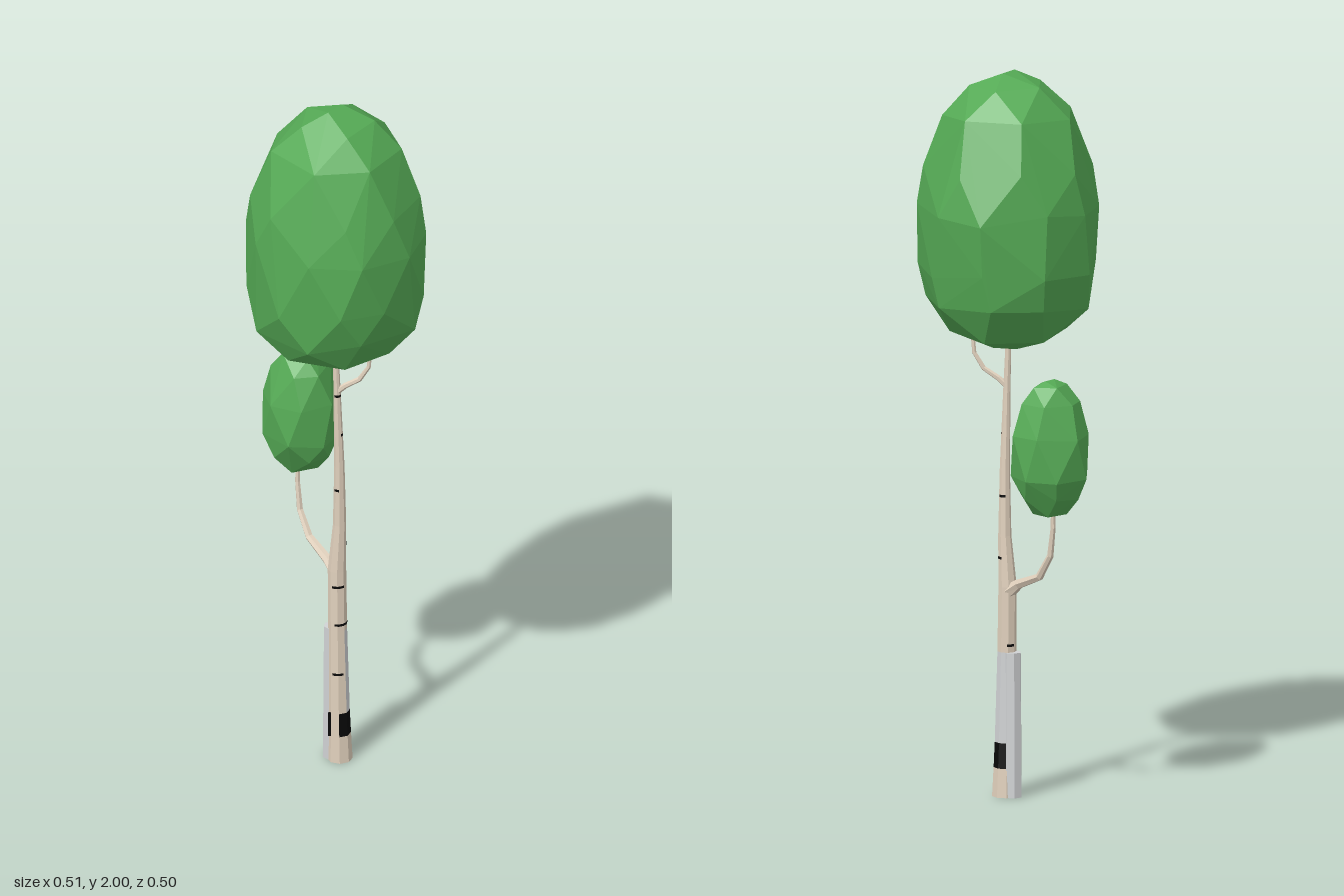
import * as THREE from 'three';
import { ConvexGeometry } from 'three/addons/geometries/ConvexGeometry.js';

const material = (name, color, extra = {}) => {
  const m = new THREE.MeshStandardMaterial({ color, flatShading: true, ...extra });
  m.name = name;
  return m;
};

// Faceted limb through [x, y, z, radius] sections; paint(section, side) picks a material index
function limb(sections, sides, level, paint = () => 0) {
  const up = new THREE.Vector3(0, 1, 0);
  const points = sections.map(([x, y, z]) => new THREE.Vector3(x, y, z));
  const rings = points.map((p, i) => {
    const dir = points[Math.min(i + 1, points.length - 1)].clone()
      .sub(points[Math.max(i - 1, 0)]).normalize();
    const turn = new THREE.Quaternion().setFromUnitVectors(up, level ? up : dir);
    return Array.from({ length: sides }, (_, k) => {
      const a = ((k - 0.5) / sides) * Math.PI * 2;
      return new THREE.Vector3(Math.sin(a), 0, Math.cos(a))
        .multiplyScalar(sections[i][3]).applyQuaternion(turn).add(p);
    });
  });
  const geometry = new THREE.BufferGeometry();
  const position = [];
  const face = (index, ...corners) => {
    geometry.addGroup(position.length / 3, corners.length, index);
    corners.forEach((c) => position.push(c.x, c.y, c.z));
  };
  const last = rings.length - 1;
  for (let k = 0; k < sides; k++) {
    const n = (k + 1) % sides;
    for (let i = 0; i < last; i++) {
      const [a, b, c, d] = [rings[i][k], rings[i][n], rings[i + 1][n], rings[i + 1][k]];
      face(paint(i, k), a, b, c, a, c, d);
    }
    face(0, points[0], rings[0][n], rings[0][k]);
    face(0, points[last], rings[last][k], rings[last][n]);
  }
  geometry.setAttribute('position', new THREE.Float32BufferAttribute(position, 3));
  geometry.computeVertexNormals();
  return geometry;
}

// Faceted crown: the hull of slightly irregular rings of [y, radius, count]
function crown(rings, cx, cz, seed) {
  let s = seed;
  const wobble = () => {
    s = (s * 16807) % 2147483647;
    return s / 2147483647 - 0.5;
  };
  const points = [];
  rings.forEach(([y, r, count], i) => {
    const inner = i > 0 && i < rings.length - 1;
    for (let k = 0; k < count; k++) {
      const a = ((k + i * 0.5 + wobble() * 0.3) / count) * Math.PI * 2;
      const rr = r * (1 + wobble() * 0.06);
      points.push(new THREE.Vector3(cx + Math.sin(a) * rr,
        y + (inner ? wobble() * 0.12 * r : 0), cz + Math.cos(a) * rr));
    }
  });
  return new ConvexGeometry(points);
}

export function createModel() {
  const tree = new THREE.Group();
  tree.name = 'tree';
  const bark = material('pale bark', 0xe0d0bc);
  const black = material('black bark', 0x080808, { side: THREE.DoubleSide });
  const grey = material('grey bark', 0xd0d2d4);
  const green = material('leaf green', 0x55aa55);
  const add = (name, geometry, mat) => {
    const mesh = new THREE.Mesh(geometry, mat);
    mesh.name = name;
    tree.add(mesh);
    return mesh;
  };

  // Trunk, with a black band and grey bark on its left and back sides
  const trunk = [
    [0.009, 0, -0.017, 0.035], [0.008, 0.08, -0.016, 0.032], [0.007, 0.15, -0.015, 0.030],
    [0.004, 0.4, -0.014, 0.026], [0.002, 0.58, -0.015, 0.025], [0.01, 0.72, -0.014, 0.018],
    [0.011, 0.9, -0.010, 0.014], [0.007, 1.12, -0.004, 0.010], [0.001, 1.3, -0.004, 0.007],
  ];
  add('trunk', limb(trunk, 8, true, (section, side) => {
    if (section === 1 && side >= 1 && side <= 4) return 1;
    if (section === 2 && side >= 2 && side <= 5) return 2;
    return 0;
  }), [bark, black, grey]);

  // Straight grey bark strip behind the trunk
  add('barkStrip', new THREE.CylinderGeometry(0.024, 0.027, 0.4, 7)
    .translate(-0.014, 0.2, -0.022), grey);
  add('barkPatch', new THREE.BoxGeometry(0.008, 0.07, 0.006).translate(-0.008, 0.115, 0.013), black);

  // Thin dark dashes around the trunk: [height, start angle, sweep]
  [[0.27, -0.2, 1.1], [0.42, 0.1, 1.9], [0.42, 3.4, 0.8], [0.535, -0.2, 1.4], [0.66, 1.6, 1.2],
    [0.83, -0.6, 0.9], [0.83, 2.4, 1.1], [1.0, 1.0, 1.0], [1.12, -0.3, 2.0]].forEach(([y, start, sweep]) => {
    const i = trunk.findIndex((t) => t[1] > y);
    const [lo, hi] = [trunk[i - 1], trunk[i]];
    const t = (y - lo[1]) / (hi[1] - lo[1]);
    const [x, , z, r] = lo.map((v, j) => v + (hi[j] - v) * t);
    add('barkMark', new THREE.CylinderGeometry(r + 0.0008, r + 0.0008, 0.007, 4, 1, true, start, sweep)
      .translate(x, y, z), black);
  });

  // Branches
  add('lowerBranch', limb([
    [0.005, 0.56, -0.016, 0.022], [-0.035, 0.592, -0.036, 0.014], [-0.105, 0.625, -0.08, 0.011],
    [-0.142, 0.69, -0.104, 0.009], [-0.152, 0.77, -0.112, 0.007], [-0.152, 0.88, -0.114, 0.005],
  ], 6, false), bark);
  add('upperBranch', limb([
    [0.006, 1.13, -0.004, 0.009], [0.03, 1.152, -0.006, 0.008], [0.07, 1.178, -0.01, 0.007],
    [0.096, 1.22, -0.012, 0.006], [0.104, 1.31, -0.013, 0.005],
  ], 6, false), bark);

  // Crowns
  add('largeCrown', crown([
    [1.24, 0.045, 3], [1.285, 0.165, 7], [1.37, 0.225, 8], [1.47, 0.243, 9], [1.63, 0.25, 10],
    [1.75, 0.23, 8], [1.89, 0.18, 7], [1.965, 0.105, 5], [2.0, 0.03, 2],
  ], 0.005, 0, 17), green);
  add('smallCrown', crown([
    [0.81, 0.045, 4], [0.86, 0.085, 6], [0.92, 0.107, 7], [1.03, 0.108, 7],
    [1.12, 0.084, 6], [1.165, 0.052, 4], [1.18, 0.02, 2],
  ], -0.146, -0.124, 41), green);

  return tree;
}
